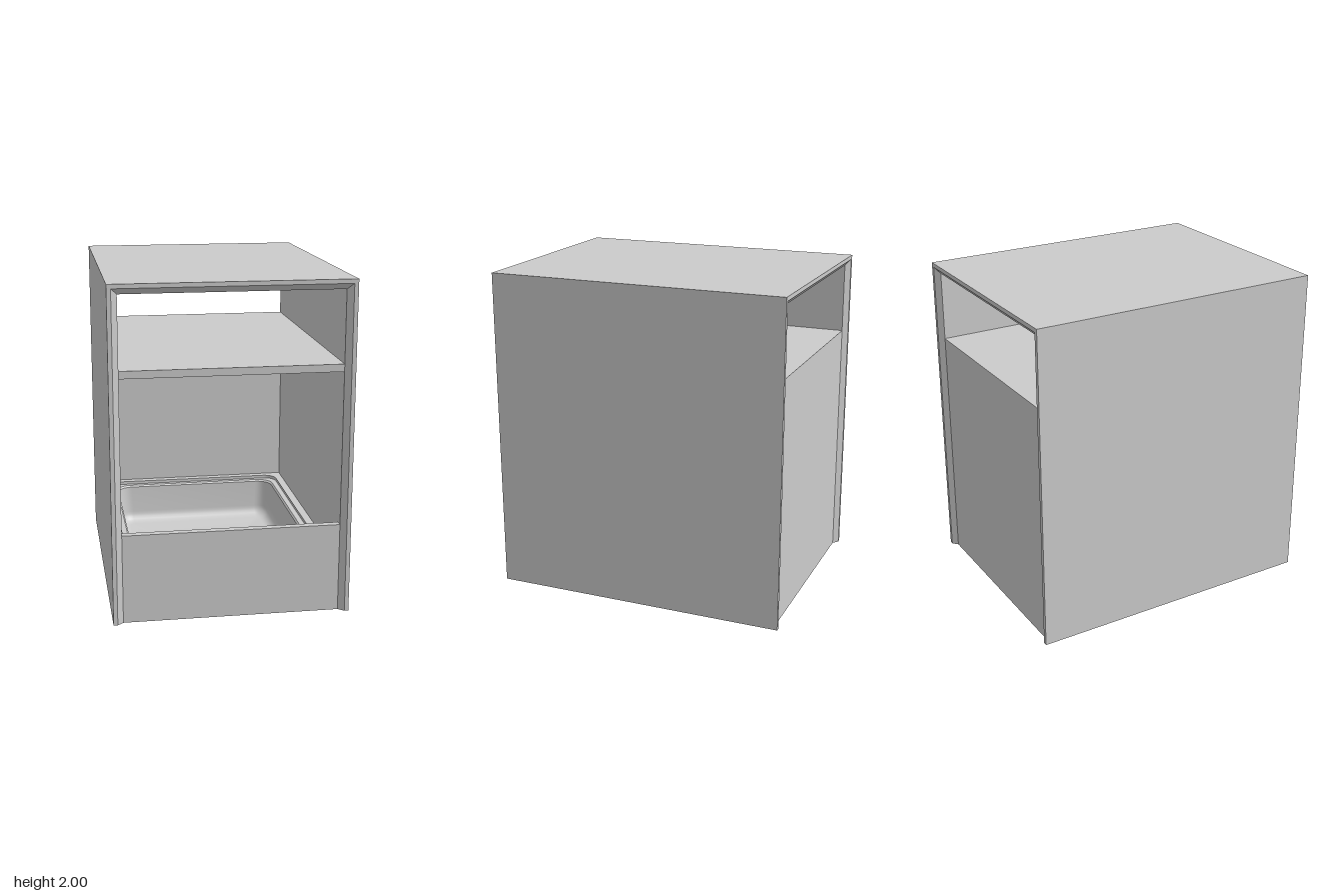
import * as THREE from 'three';
import { toCreasedNormals } from 'three/addons/utils/BufferGeometryUtils.js';

const W = 0.705, H = 2, D = 0.915;     // half width, height, half depth
const LIP = 0.025, WALL = 0.06;        // edge lip and full wall thickness
const INNER = W - WALL, FACE = D - 0.03, BOARD = 0.045;

const material = new THREE.MeshStandardMaterial({ color: 0xcccccc });

function add(group, name, geometry) {
  const mesh = new THREE.Mesh(geometry, material);
  mesh.name = name;
  group.add(mesh);
  return mesh;
}

function board(group, name, w, h, d, x, y, z) {
  add(group, name, new THREE.BoxGeometry(w, h, d)).position.set(x, y, z);
}

// Wall slab with chamfered front and back edges, outer face at x = 0, running along +z.
// The ends are mitred where asked, by the depth of each vertex.
function wallGeometry(length, mitreStart, mitreEnd) {
  const s = new THREE.Shape([
    [0, -D], [0, D], [-LIP, D], [-WALL, FACE], [-WALL, -FACE], [-LIP, -D],
  ].map(([x, y]) => new THREE.Vector2(x, y)));
  const g = new THREE.ExtrudeGeometry(s, { depth: length, bevelEnabled: false });
  const p = g.attributes.position;
  for (let i = 0; i < p.count; i++) {
    const depth = -p.getX(i);
    const atEnd = p.getZ(i) > length / 2;
    if (atEnd && mitreEnd) p.setZ(i, length - depth);
    if (!atEnd && mitreStart) p.setZ(i, depth);
  }
  g.computeVertexNormals();
  return g;
}

// Points of a rounded rectangle in the xz plane
function ring(hw, hd, r, y) {
  const pts = [], seg = 8;
  [[1, 1], [-1, 1], [-1, -1], [1, -1]].forEach(([sx, sz], q) => {
    for (let i = 0; i <= seg; i++) {
      const a = (q + i / seg) * Math.PI / 2;
      pts.push([sx * (hw - r) + r * Math.cos(a), y, sz * (hd - r) + r * Math.sin(a)]);
    }
  });
  return pts;
}

function loft(rings) {
  const n = rings[0].length, index = [];
  for (let i = 0; i < rings.length - 1; i++) {
    for (let j = 0; j < n; j++) {
      const a = i * n + j, b = i * n + (j + 1) % n;
      index.push(a, b, a + n, b, b + n, a + n);
    }
  }
  const g = new THREE.BufferGeometry();
  g.setAttribute('position', new THREE.Float32BufferAttribute(rings.flat(2), 3));
  g.setIndex(index);
  return toCreasedNormals(g, 0.6);
}

// Rounded edge between the floor and the walls of the basin
function fillet(hw, hd, r, y, f) {
  return Array.from({ length: 7 }, (_, i) => {
    const a = i / 6 * Math.PI / 2, inset = f * (1 - Math.sin(a));
    return ring(hw - inset, hd - inset, r - inset, y + f * (1 - Math.cos(a)));
  });
}

function trayGeometry() {
  return loft([
    // inside of the basin
    ring(0, 0, 0, 0.04),
    ...fillet(0.54, 0.74, 0.1, 0.04, 0.07),
    ring(0.55, 0.75, 0.1, 0.29),
    ring(0.56, 0.76, 0.1, 0.3),
    // ledge, step and flat rim
    ring(0.595, 0.79, 0.08, 0.3),
    ring(0.595, 0.79, 0.08, 0.32),
    ring(0.644, 0.839, 0.005, 0.32),
    ring(0.644, 0.839, 0.005, 0.285),
    // outside of the basin
    ring(0.565, 0.765, 0.11, 0.285),
    ...fillet(0.555, 0.755, 0.11, 0.025, 0.07).reverse(),
    ring(0, 0, 0, 0.025),
  ]);
}

export function createModel() {
  const model = new THREE.Group();
  model.name = 'cabinet';

  // Outer shell: two sides and a top, mitred at the upper corners
  const shell = new THREE.Group();
  shell.name = 'shell';
  model.add(shell);
  const left = wallGeometry(H, false, true).rotateX(-Math.PI / 2);
  left.translate(W, 0, 0);
  add(shell, 'leftWall', left);
  const right = left.clone().rotateY(Math.PI);
  add(shell, 'rightWall', right);
  const top = wallGeometry(2 * W, true, true)
    .rotateX(-Math.PI / 2).rotateZ(Math.PI / 2);
  top.translate(W, H, 0);
  add(shell, 'topPanel', top);

  // Boards between the sides
  const shelfTop = 1.51, frontTop = 0.54;
  board(model, 'shelf', 2 * INNER, BOARD, 2 * FACE - BOARD, 0, shelfTop - BOARD / 2, BOARD / 2);
  board(model, 'backPanel', 2 * INNER, shelfTop, BOARD, 0, shelfTop / 2, -FACE + BOARD / 2);
  board(model, 'frontPanel', 2 * INNER, frontTop, BOARD, 0, frontTop / 2, FACE - BOARD / 2);

  // Basin sunk between the panels
  add(model, 'tray', trayGeometry());
  return model;
}
